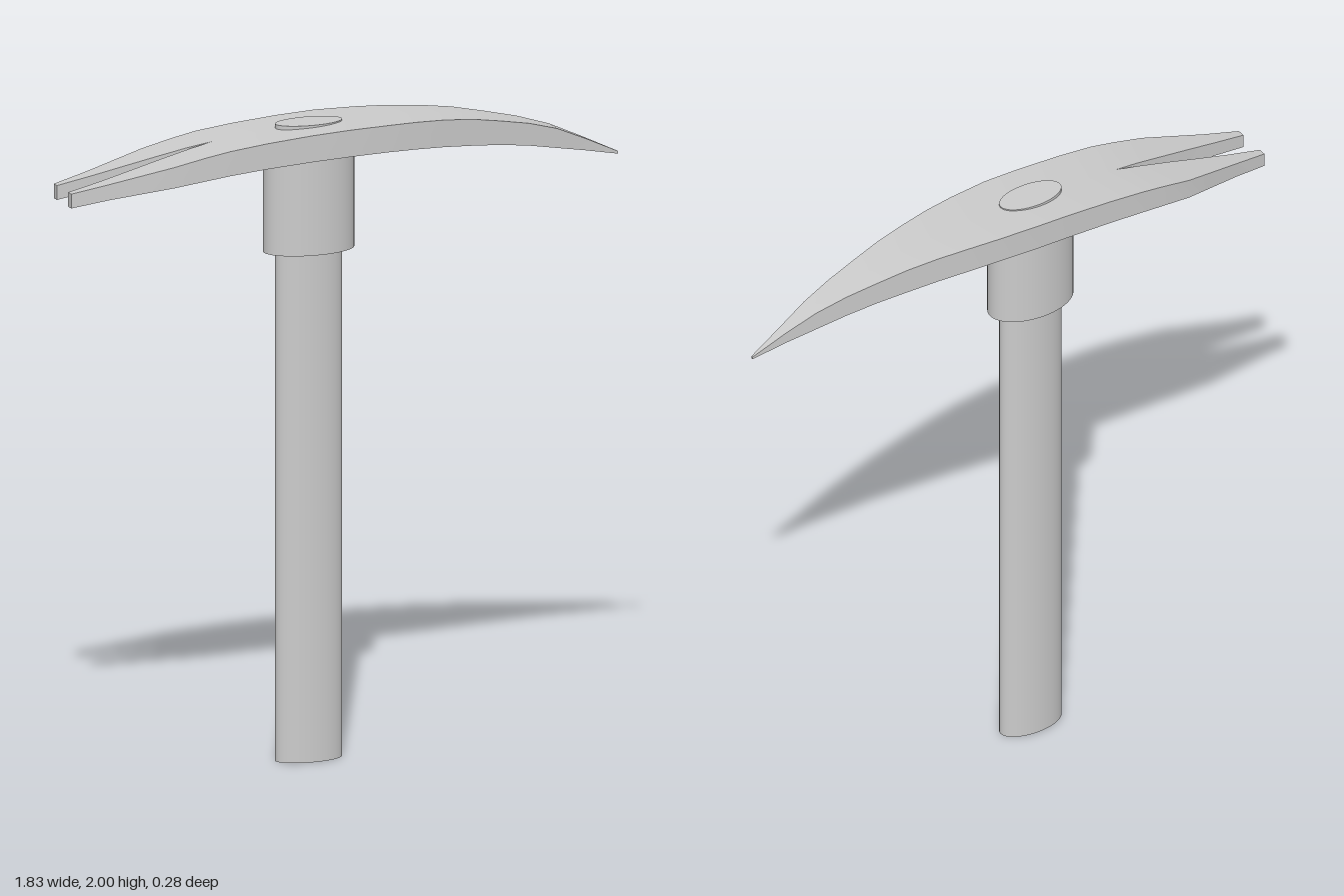
import * as THREE from 'three';
import { toCreasedNormals } from 'three/addons/utils/BufferGeometryUtils.js';

// Head stations: x, bottom y, top y, outer half width, half width of the claw slot
const STATIONS = [
  [-0.915, 1.82, 1.865, 0.07, 0.045],
  [-0.8, 1.839, 1.888, 0.09, 0.036],
  [-0.7, 1.853, 1.91, 0.11, 0.027],
  [-0.6, 1.867, 1.932, 0.13, 0.017],
  [-0.5, 1.88, 1.953, 0.136, 0.008],
  [-0.42, 1.89, 1.967, 0.14, 0],
  [-0.3, 1.9, 1.98, 0.141, 0],
  [-0.15, 1.908, 1.991, 0.141, 0],
  [-0.03, 1.912, 1.996, 0.14, 0],
  [0.1, 1.912, 1.996, 0.13, 0],
  [0.2, 1.909, 1.994, 0.118, 0],
  [0.3, 1.903, 1.988, 0.102, 0],
  [0.4, 1.894, 1.977, 0.086, 0],
  [0.5, 1.883, 1.958, 0.069, 0],
  [0.6, 1.867, 1.937, 0.052, 0],
  [0.7, 1.846, 1.907, 0.035, 0],
  [0.8, 1.825, 1.862, 0.018, 0],
  [0.913, 1.8, 1.808, 0.003, 0],
];

// Loft the two mirrored halves of the head, leaving the slot open between the prongs
function headGeometry() {
  const positions = [];
  for (const side of [1, -1]) {
    const rings = STATIONS.map(([x, bottom, top, outer, inner]) => [
      [x, bottom, side * inner], [x, bottom, side * outer],
      [x, top, side * outer], [x, top, side * inner],
    ]);
    const quad = (a, b, c, d) => {
      const corners = side > 0 ? [a, b, c, a, c, d] : [a, c, b, a, d, c];
      corners.forEach((p) => positions.push(...p));
    };
    for (let i = 0; i < rings.length - 1; i++) {
      const r = rings[i], n = rings[i + 1];
      for (let j = 0; j < 4; j++) {
        if (j === 3 && STATIONS[i][4] === 0) continue; // solid beyond the slot
        const k = (j + 1) % 4;
        quad(r[j], n[j], n[k], r[k]);
      }
    }
    quad(...rings[0]);
    quad(...rings[rings.length - 1].slice().reverse());
  }
  const geometry = new THREE.BufferGeometry();
  geometry.setAttribute('position', new THREE.Float32BufferAttribute(positions, 3));
  return toCreasedNormals(geometry, 0.5);
}

// Upright oval bar
function ovalBar(rx, rz, y0, y1) {
  const geometry = new THREE.CylinderGeometry(1, 1, y1 - y0, 48);
  geometry.scale(rx, 1, rz);
  geometry.translate(-0.105, (y0 + y1) / 2, 0);
  return geometry;
}

export function createModel() {
  const model = new THREE.Group();
  model.name = 'pickHammer';
  const material = new THREE.MeshStandardMaterial({ color: 0xcccccc });
  const add = (name, geometry) => {
    const mesh = new THREE.Mesh(geometry, material);
    mesh.name = name;
    model.add(mesh);
  };

  add('handle', ovalBar(0.108, 0.055, 0, 2)); // its end shows through the head
  add('collar', ovalBar(0.146, 0.09, 1.6, 1.91));
  add('head', headGeometry());
  return model;
}
